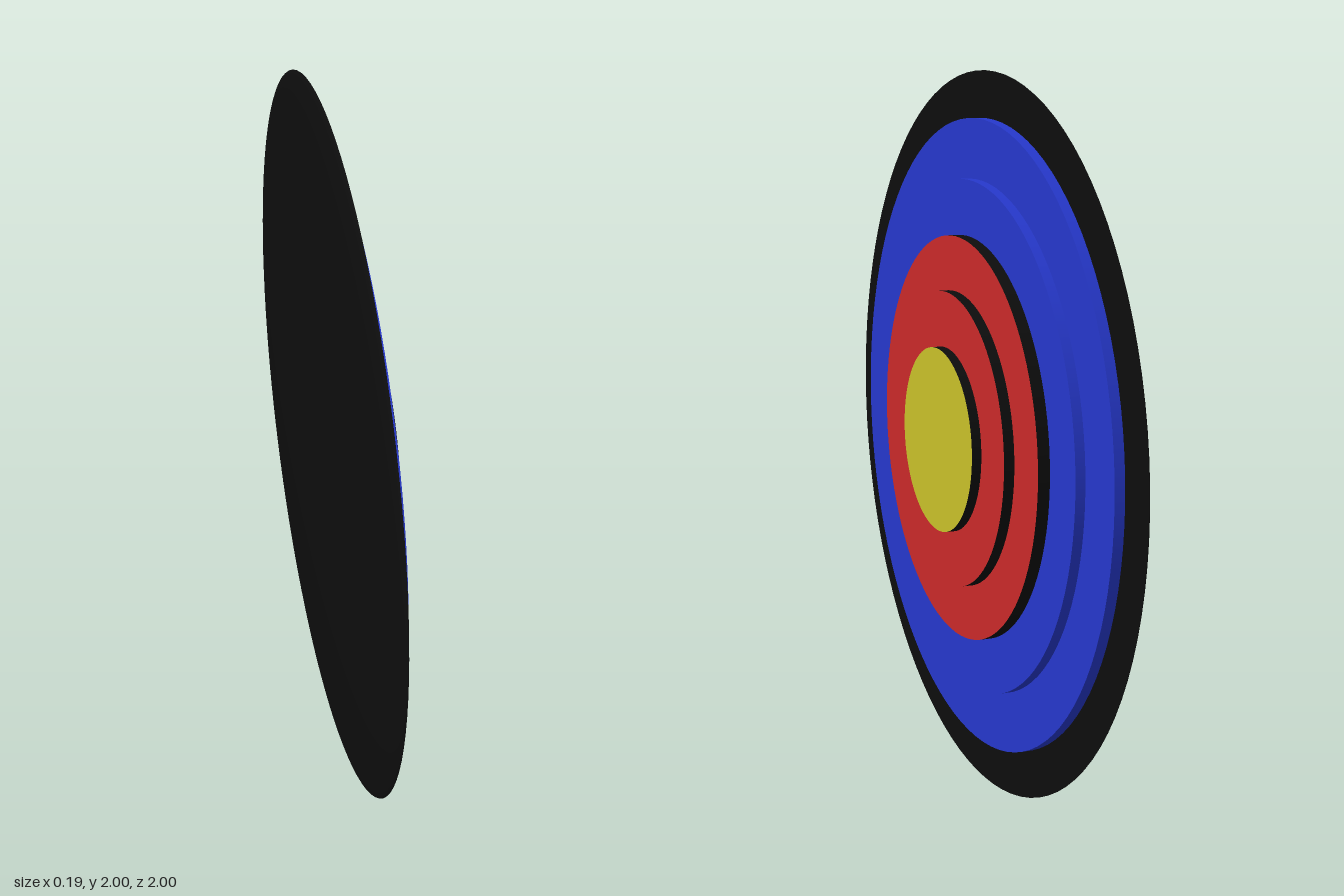
import * as THREE from 'three';

const SEGMENTS = 96;
const paint = (color) => new THREE.MeshStandardMaterial({ color });

export function createModel() {
  const model = new THREE.Group();
  model.name = 'archeryTarget';

  const black = paint(0x0d0d0d);
  const blue = paint(0x2638cc);
  const red = paint(0xca2929);
  const yellow = paint(0xc9c029);

  // Built along +y, then turned so the target faces +x
  const target = new THREE.Group();
  target.name = 'target';
  target.rotation.z = -Math.PI / 2;
  target.position.y = 1;
  model.add(target);

  const add = (name, geometry, material, y) => {
    const mesh = new THREE.Mesh(geometry, material);
    mesh.name = name;
    mesh.position.y = y;
    target.add(mesh);
  };

  // Shallow domed back, closed by a flat black face
  const dome = new THREE.SphereGeometry(1, SEGMENTS, 24, 0, Math.PI * 2, Math.PI / 2, Math.PI / 2);
  dome.scale(1, 0.046, 1);
  add('domedBack', dome, black, -0.049);
  add('outerRim', new THREE.CircleGeometry(1, SEGMENTS).rotateX(-Math.PI / 2), black, -0.049);

  // Stepped discs: name, radius, front position, side and face colours
  const discs = [
    ['outerBlueDisc', 0.873, -0.021, blue, blue],
    ['innerBlueDisc', 0.71, 0.006, blue, blue],
    ['outerRedDisc', 0.558, 0.039, black, red],
    ['innerRedDisc', 0.408, 0.068, black, red],
    ['bullseye', 0.255, 0.095, black, yellow],
  ];
  let back = -0.049;
  for (const [name, radius, front, side, face] of discs) {
    const geometry = new THREE.CylinderGeometry(radius, radius, front - back, SEGMENTS);
    add(name, geometry, [side, face, side], (front + back) / 2);
    back = front;
  }

  return model;
}
